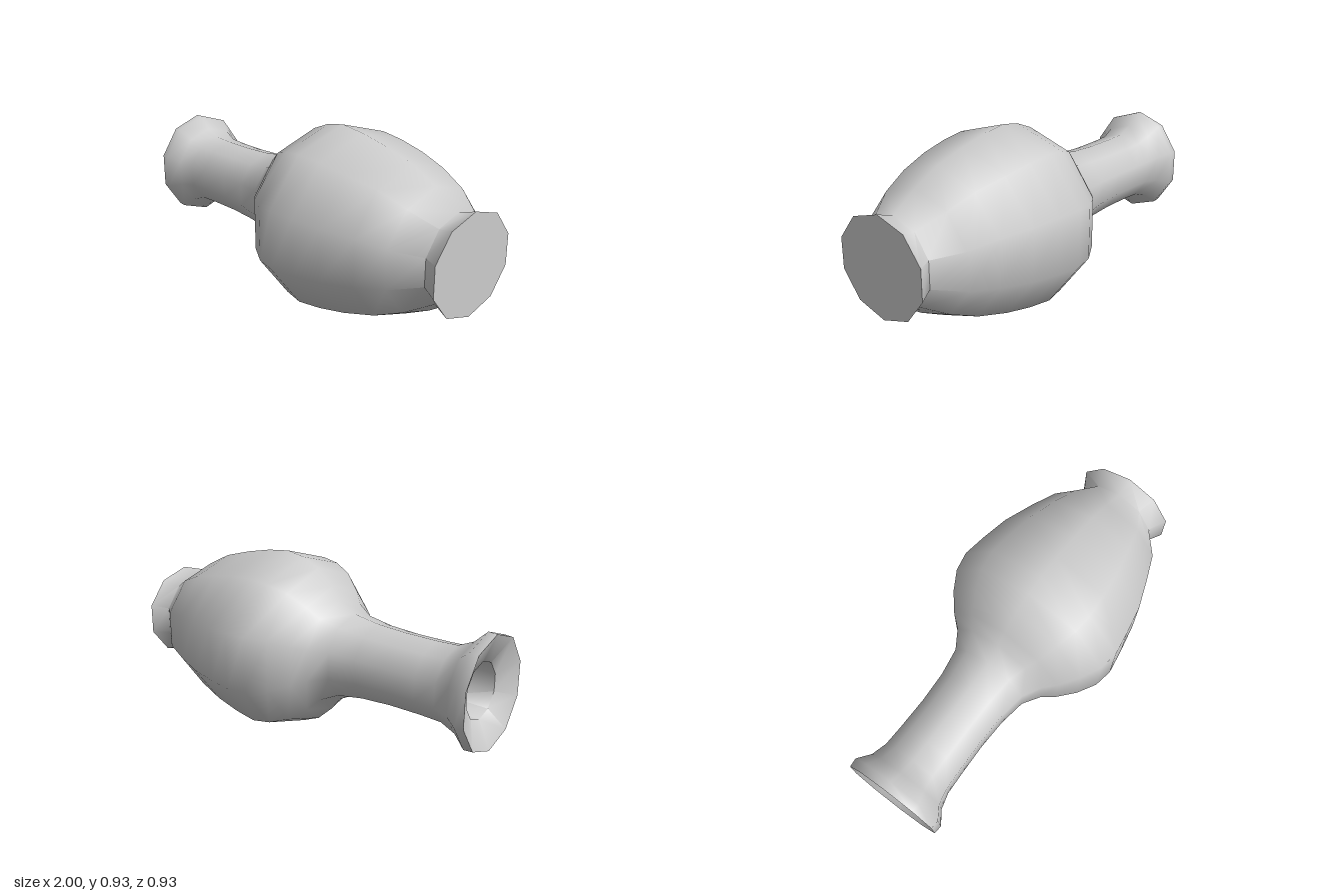
import * as THREE from 'three';
import { toCreasedNormals } from 'three/addons/utils/BufferGeometryUtils.js';

const SIDES = 10;
const AXIS_Y = 0.467;

// Skin a run of rings [x, halfHeight, halfDepth] lying along the x axis
function skinRings(rings) {
  const pos = [], idx = [];
  for (const [x, h, d] of rings) {
    const rz = d / Math.cos(Math.PI / SIDES);
    for (let i = 0; i < SIDES; i++) {
      const a = (i / SIDES) * Math.PI * 2;
      pos.push(x, AXIS_Y + h * Math.cos(a), rz * Math.sin(a));
    }
  }
  for (let r = 0; r < rings.length - 1; r++) {
    for (let i = 0; i < SIDES; i++) {
      const j = (i + 1) % SIDES;
      const a = r * SIDES + i, b = r * SIDES + j;
      if (rings[r][1] > 0) idx.push(a, b, a + SIDES);
      if (rings[r + 1][1] > 0) idx.push(b, b + SIDES, a + SIDES);
    }
  }
  const g = new THREE.BufferGeometry();
  g.setAttribute('position', new THREE.Float32BufferAttribute(pos, 3));
  g.setIndex(idx);
  return toCreasedNormals(g, 1.15);
}

export function createModel() {
  const group = new THREE.Group();
  group.name = 'lyingVase';
  const material = new THREE.MeshStandardMaterial({ color: 0xcccccc });

  // Outside, from the lip over neck and belly to the flared foot
  const outer = [
    [-1, 0.28, 0.246], [-0.955, 0.283, 0.25], [-0.89, 0.222, 0.205],
    [-0.81, 0.187, 0.185], [-0.7, 0.183, 0.181], [-0.53, 0.184, 0.178],
    [-0.37, 0.193, 0.185], [-0.23, 0.215, 0.207], [-0.14, 0.262, 0.262],
    [-0.09, 0.327, 0.32], [0, 0.408, 0.392], [0.1, 0.45, 0.447],
    [0.2, 0.467, 0.465], [0.33, 0.452, 0.447], [0.48, 0.42, 0.42],
    [0.64, 0.375, 0.365], [0.78, 0.305, 0.312], [0.91, 0.22, 0.207],
    [1, 0.25, 0.256], [1, 0, 0],
  ];

  // Inside: hollow that follows the wall, then the sunken lip
  const wall = 0.045;
  const cavity = outer.slice(4, 17).reverse()
    .map(([x, h, d]) => [x, h - wall, d - wall]);
  const inner = [[0.78, 0, 0], ...cavity, [-0.94, 0.14, 0.125], outer[0]];

  const parts = { outerBody: outer, innerWall: inner };
  for (const [name, rings] of Object.entries(parts)) {
    const mesh = new THREE.Mesh(skinRings(rings), material);
    mesh.name = name;
    group.add(mesh);
  }
  return group;
}
